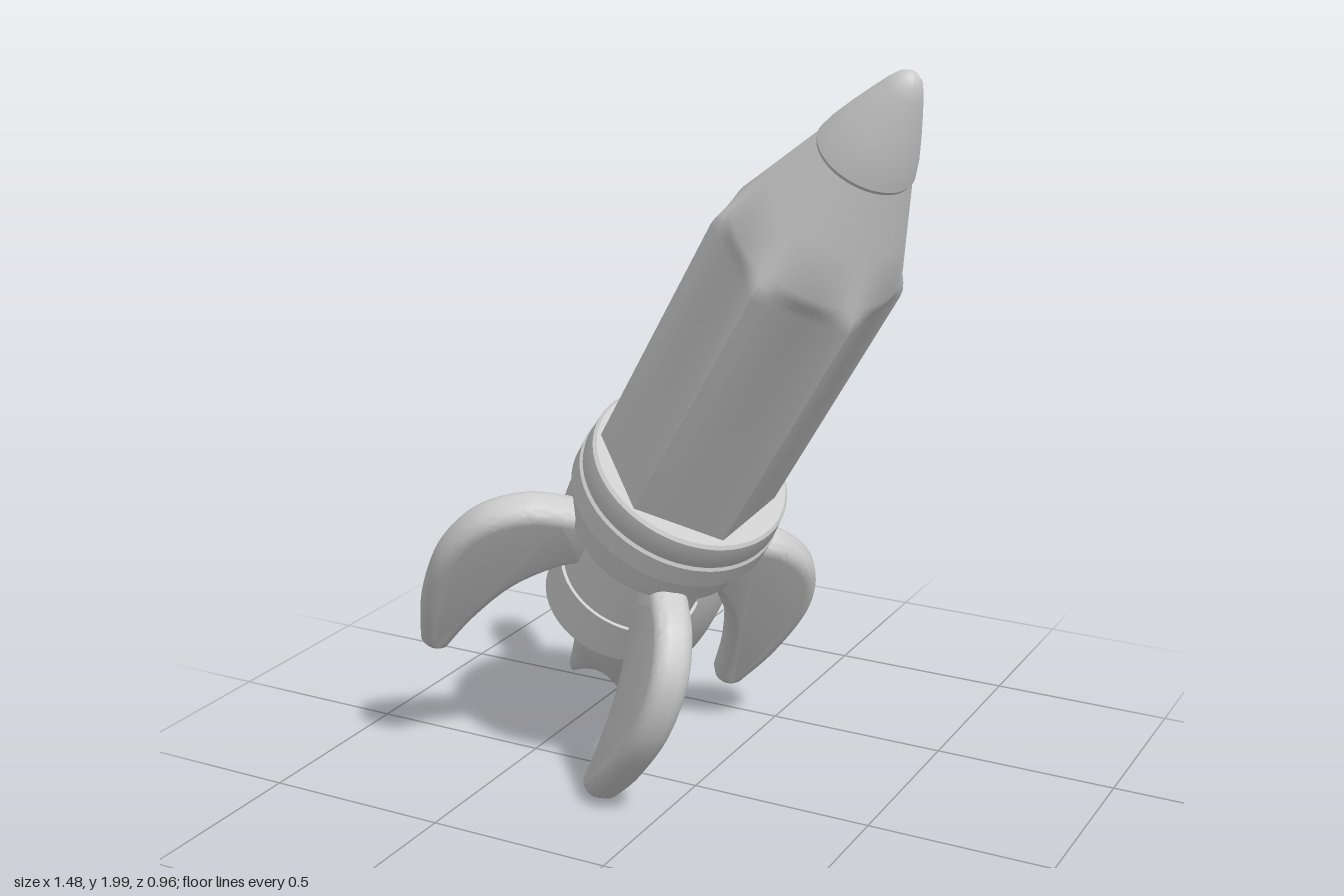
import * as THREE from 'three';
import { toCreasedNormals } from 'three/addons/utils/BufferGeometryUtils.js';

const material = new THREE.MeshStandardMaterial({ color: 0xcccccc });

function part(name, geometry) {
  const mesh = new THREE.Mesh(geometry, material);
  mesh.name = name;
  return mesh;
}

// Skin closed cross-sections, listed from bottom to top
function loft(rows, crease) {
  const n = rows[0].length, index = [];
  for (let i = 0; i < rows.length - 1; i++) {
    for (let j = 0; j < n; j++) {
      const k = (j + 1) % n;
      const a = i * n + j, b = i * n + k, c = a + n, d = b + n;
      index.push(a, b, c, b, d, c);
    }
  }
  const geometry = new THREE.BufferGeometry().setFromPoints(rows.flat());
  geometry.setIndex(index);
  return toCreasedNormals(geometry, crease);
}

function lathe(points, crease = 0.5) {
  const profile = points.map(([r, y]) => new THREE.Vector2(r, y));
  return toCreasedNormals(new THREE.LatheGeometry(profile, 64), crease);
}

// Hexagonal shaft whose top rounds off into a cone
function shaftGeometry() {
  const perSide = 10;
  // height, radius, roundness (0 = hexagon, 1 = circle)
  const sections = [
    [-0.05, 0.237, 0], [0.765, 0.237, 0], [0.785, 0.234, 0.12], [0.805, 0.226, 0.5],
    [0.83, 0.212, 1], [0.95, 0.167, 1], [1.09, 0.115, 1],
  ];
  const rows = sections.map(([t, R, round]) =>
    Array.from({ length: 6 * perSide }, (_, j) => {
      const a = (j / perSide) * Math.PI / 3;
      const local = ((j % perSide) / perSide - 0.5) * Math.PI / 3;
      const hex = R * Math.cos(Math.PI / 6) / Math.cos(local);
      const r = THREE.MathUtils.lerp(hex, R, round);
      return new THREE.Vector3(Math.sin(a) * r, t, Math.cos(a) * r);
    }));
  return loft(rows, 0.5);
}

// Bulbous flame that flattens into a forked tail
function flameGeometry() {
  // half width, height, half depth
  const spine = new THREE.CatmullRomCurve3([
    [0.04, -1.04, 0], [0.098, -1.025, 0.03], [0.125, -0.95, 0.07], [0.155, -0.82, 0.13],
    [0.178, -0.66, 0.17], [0.175, -0.5, 0.172], [0.142, -0.36, 0.142], [0.085, -0.275, 0.085],
    [0, -0.245, 0],
  ].map((p) => new THREE.Vector3(...p)));
  const rows = spine.getPoints(40).map((p) => {
    const k = Math.max(0, (-p.y - 0.75) / 0.28) ** 2;
    return Array.from({ length: 40 }, (_, j) => {
      const a = (j / 40) * Math.PI * 2, s = Math.sin(a);
      const x = p.x * s, across = Math.min(1, Math.abs(x) / 0.085);
      const fork = k * (0.07 * (1 - across * across) + 0.4 * x);
      return new THREE.Vector3(0.04 + x, p.y + fork, -0.165 + 0.015 * k + p.z * Math.cos(a));
    });
  });
  return loft(rows, 1.1);
}

// Curved fin in the radial plane, with rounded rims
function finGeometry() {
  const shape = new THREE.Shape();
  shape.moveTo(0.14, -0.21);
  shape.lineTo(0.25, -0.195);
  shape.splineThru([
    [0.365, -0.205], [0.475, -0.285], [0.528, -0.44], [0.515, -0.64], [0.472, -0.8],
  ].map((p) => new THREE.Vector2(...p)));
  shape.quadraticCurveTo(0.435, -0.84, 0.395, -0.805);
  shape.splineThru([
    [0.362, -0.66], [0.302, -0.51], [0.21, -0.405], [0.14, -0.375],
  ].map((p) => new THREE.Vector2(...p)));
  const geometry = new THREE.ExtrudeGeometry(shape, {
    depth: 0.024, curveSegments: 10, bevelEnabled: true,
    bevelThickness: 0.039, bevelSize: 0.036, bevelOffset: -0.036, bevelSegments: 6,
  });
  geometry.translate(0, 0, -0.012);
  return toCreasedNormals(geometry, 0.8);
}

export function createModel() {
  const rocket = new THREE.Group();
  rocket.name = 'rocket';

  rocket.add(part('shaft', shaftGeometry()));

  rocket.add(part('noseTip', lathe([
    [0, 1.085], [0.116, 1.085], [0.119, 1.095], [0.108, 1.135], [0.087, 1.19],
    [0.064, 1.245], [0.044, 1.29], [0.03, 1.315], [0.015, 1.328], [0, 1.332],
  ])));

  // Engine section, set slightly behind the shaft
  const engine = new THREE.Group();
  engine.name = 'engineSection';
  engine.position.set(0.004, 0, -0.012);
  rocket.add(engine);

  // Stacked collar bands around the foot of the shaft
  engine.add(part('collar', lathe([
    [0, -0.235], [0.234, -0.235], [0.241, -0.226], [0.246, -0.135],
    [0.264, -0.135], [0.272, -0.127], [0.272, -0.065], [0.266, -0.057],
    [0.266, -0.052], [0.268, -0.046], [0.264, 0.012], [0.256, 0.02], [0, 0.02],
  ])));

  engine.add(part('engineTube', lathe([[0, -0.44], [0.188, -0.44], [0.188, -0.22]])));
  engine.add(part('nozzle', lathe([[0, -0.555], [0.197, -0.555], [0.197, -0.43], [0, -0.43]])));
  engine.add(part('flame', flameGeometry()));

  // Four fins on the diagonals
  const fin = finGeometry();
  for (let i = 0; i < 4; i++) {
    const mesh = part('fin', fin);
    mesh.rotation.y = Math.PI / 4 + i * Math.PI / 2;
    engine.add(mesh);
  }

  // Lean the rocket along its flight direction
  const up = new THREE.Vector3(0.532, 0.813, 0.236).normalize();
  const side = new THREE.Vector3().crossVectors(up, new THREE.Vector3(0, 0, 1)).normalize();
  const face = new THREE.Vector3().crossVectors(side, up);
  rocket.quaternion.setFromRotationMatrix(new THREE.Matrix4().makeBasis(side, up, face));
  rocket.position.set(0.006, 0.91, 0.068);

  const model = new THREE.Group();
  model.add(rocket);
  return model;
}
